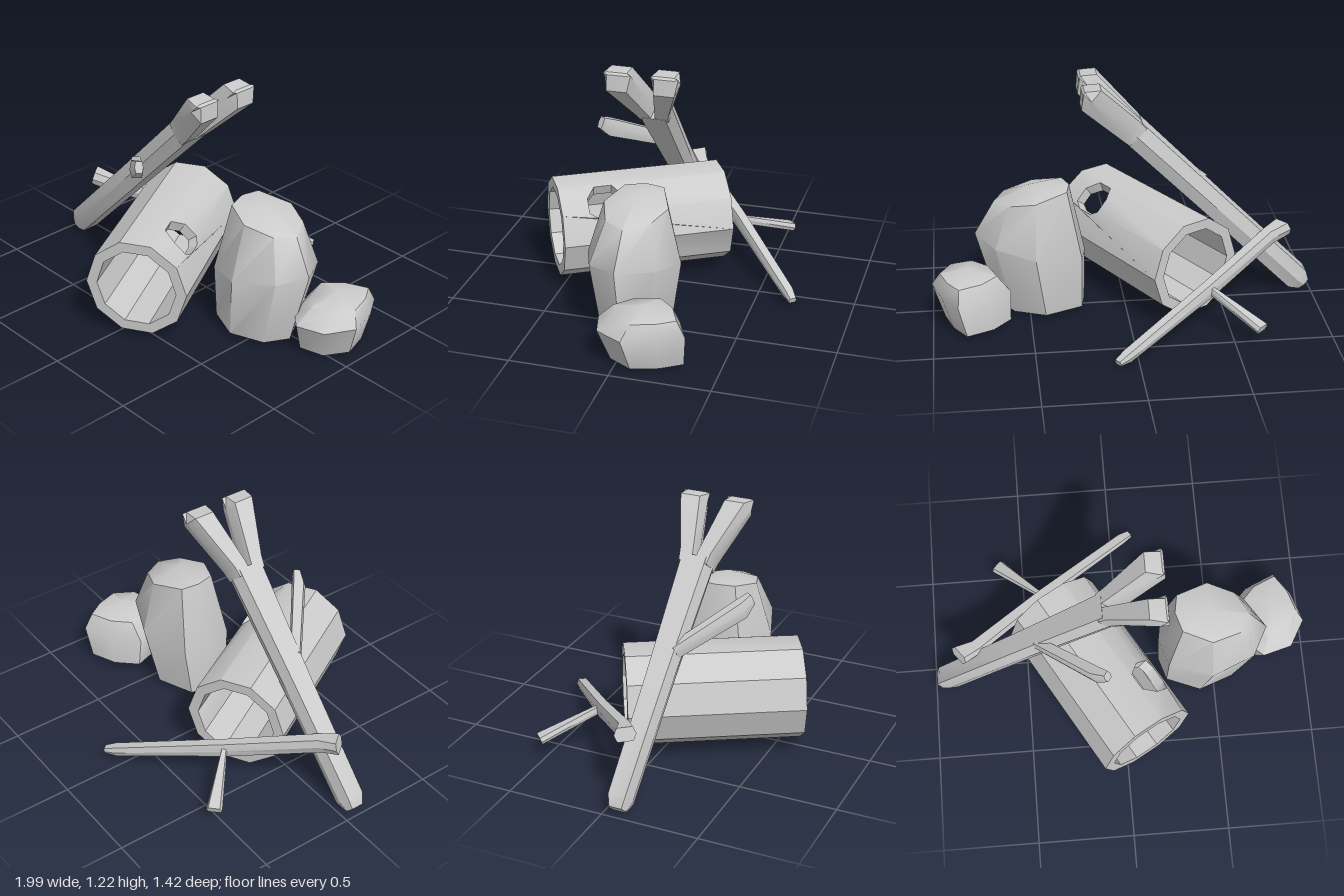
import * as THREE from 'three';
import { toCreasedNormals } from 'three/addons/utils/BufferGeometryUtils.js';

const V = (x, y, z) => new THREE.Vector3(x, y, z);
const material = new THREE.MeshStandardMaterial({ color: 0xcccccc });

// Turns a flat list of triangle corners into a mesh with creased edges
function makeMesh(name, corners, crease) {
  const geo = new THREE.BufferGeometry().setFromPoints(corners);
  const mesh = new THREE.Mesh(toCreasedNormals(geo, crease), material);
  mesh.name = name;
  return mesh;
}

// Skins a stack of rings and closes both ends; lift raises the middle of the last cap
function skin(rings, lift = 0) {
  const out = [];
  const n = rings[0].length;
  const middle = (ring) => ring.reduce((s, p) => s.add(p), V(0, 0, 0)).divideScalar(n);
  const first = rings[0], last = rings[rings.length - 1];
  const start = middle(first), end = middle(last);
  end.y += lift;
  for (let j = 0; j < n; j++) {
    const k = (j + 1) % n;
    for (let i = 0; i < rings.length - 1; i++) {
      const a = rings[i][j], b = rings[i][k], c = rings[i + 1][k], d = rings[i + 1][j];
      out.push(a, b, c, a, c, d);
    }
    out.push(start, first[k], first[j], end, last[j], last[k]);
  }
  return out;
}

// Six-sided branch; each section is [x, y, z, halfWidth, halfThickness]
function branch(name, sections, heading) {
  const f = sections[0], l = sections[sections.length - 1];
  const dir = heading || V(l[0] - f[0], l[1] - f[1], l[2] - f[2]);
  dir.normalize();
  const side = V(0, 1, 0).cross(dir).normalize();
  const up = dir.clone().cross(side);
  const profile = [[1, 0], [0.72, 1], [-0.72, 1], [-1, 0], [-0.72, -1], [0.72, -1]];
  const rings = sections.map(([x, y, z, w, t]) => profile.map(([a, b]) =>
    V(x, y, z).addScaledVector(side, a * w).addScaledVector(up, b * t)));
  return makeMesh(name, skin(rings), 0.5);
}

// Rock: one outline, scaled and shifted per level [scale, dx, dz, y, tilt]
function rock(name, cx, cz, outline, levels, lift) {
  const rings = levels.map(([s, dx, dz, y, tilt]) => outline.map(([x, z]) => {
    const px = (x - cx) * s;
    return V(cx + dx + px, y + tilt * px, cz + dz + (z - cz) * s);
  }).reverse());
  return makeMesh(name, skin(rings, lift), 0.75);
}

// Ten-sided hollow log along z, with a knot hole in its upper side
function hollowLog() {
  const R = 0.262, r = 0.207, h = 0.445, c = 0.212, a = 0.092;
  const at = (s, u, rad) => V(Math.cos(s * Math.PI / 5) * rad, Math.sin(s * Math.PI / 5) * rad, u);
  const upper = [[1, c + a], [1.5, c + a], [1.92, c + a / 2], [1.92, c - a / 2], [1.5, c - a], [1, c - a]];
  const lower = [[1, c - a], [0.82, c - a / 2], [0.82, c + a / 2], [1, c + a]];
  const out = [];
  const quad = (p, q, s, t) => out.push(p, q, s, p, s, t);
  for (let i = 0; i < 10; i++) {
    // Wall panel in unrolled coordinates, notched where the hole crosses it
    const panel = [[i, -h], ...(i === 0 ? [[1, -h], ...lower, [1, h]] : [[i + 1, -h], [i + 1, h]]),
      [i, h], ...(i === 1 ? upper : [])].map(([s, u]) => new THREE.Vector2(s, u));
    for (const [p, q, s] of THREE.ShapeUtils.triangulateShape(panel, [])) {
      const t = [panel[p], panel[q], panel[s]];
      const area = t[1].clone().sub(t[0]).cross(t[2].clone().sub(t[0]));
      if (area < 0) t.reverse();
      out.push(...t.map((v) => at(v.x, v.y, R)));
      out.push(...t.reverse().map((v) => at(v.x, v.y, r)));
    }
    // End rims
    quad(at(i, h, r), at(i, h, R), at(i + 1, h, R), at(i + 1, h, r));
    quad(at(i + 1, -h, r), at(i + 1, -h, R), at(i, -h, R), at(i, -h, r));
  }
  // Thickness of the hole
  const rim = [...upper, ...lower.slice(1, 3)];
  rim.forEach(([s, u], i) => {
    const [s2, u2] = rim[(i + 1) % rim.length];
    quad(at(s, u, R), at(s, u, r), at(s2, u2, r), at(s2, u2, R));
  });
  const mesh = makeMesh('hollowLog', out, 0.5);
  mesh.material = material.clone();
  mesh.material.side = THREE.DoubleSide;
  mesh.position.set(-0.12, 0.293, 0.185);
  mesh.rotation.y = Math.PI / 6;
  return mesh;
}

export function createModel() {
  const model = new THREE.Group();
  model.add(hollowLog());

  // Leaning forked branch
  const forked = new THREE.Group();
  forked.name = 'forkedBranch';
  forked.add(branch('trunk', [
    [-0.968, 0.035, 0.07, 0.045, 0.035],
    [-0.93, 0.073, 0.07, 0.062, 0.064],
    [-0.5, 0.503, 0.07, 0.07, 0.064],
    [-0.045, 0.96, 0.07, 0.09, 0.066],
  ]));
  for (const s of [-1, 1]) {
    forked.add(branch(s < 0 ? 'backProng' : 'frontProng', [
      [-0.07, 0.935, 0.07 + s * 0.042, 0.045, 0.062],
      [-0.03, 0.975, 0.07 + s * 0.048, 0.048, 0.066],
      [0.175, 1.18, 0.07 + s * 0.12, 0.073, 0.07],
      [0.213, 1.218, 0.07 + s * 0.12, 0.07, 0.008],
    ], V(1, 1, 0)));
  }
  forked.add(branch('sideTwig', [
    [-0.42, 0.63, 0.11, 0.03, 0.035],
    [-0.14, 0.785, 0.345, 0.035, 0.045],
    [-0.085, 0.825, 0.375, 0.022, 0.03],
  ]));
  model.add(forked);

  // Thin branch lying through the back of the log
  const thin = new THREE.Group();
  thin.name = 'thinBranch';
  thin.add(branch('thinStem', [
    [-0.845, 0.375, 0.055, 0.055, 0.035],
    [-0.76, 0.345, 0.01, 0.038, 0.038],
    [-0.4, 0.215, -0.3, 0.032, 0.038],
    [0.06, 0.06, -0.665, 0.03, 0.026],
    [0.11, 0.045, -0.7, 0.022, 0.014],
  ]));
  thin.add(branch('lowTwig', [
    [-0.41, 0.21, -0.32, 0.015, 0.02],
    [-0.63, 0.1, -0.54, 0.04, 0.02],
  ]));
  model.add(thin);

  // Rocks
  model.add(rock('largeRock', 0.48, 0.03,
    [[0.23, -0.11], [0.47, -0.21], [0.67, -0.13], [0.77, 0.04], [0.69, 0.19], [0.47, 0.27], [0.25, 0.18], [0.205, 0.03]],
    [[0.8, -0.05, 0.01, 0.03, 0], [1, 0, 0, 0.37, 0.2], [0.68, -0.01, -0.01, 0.65, -0.2]], 0.05));
  model.add(rock('smallRock', 0.81, -0.11,
    [[0.6, -0.15], [0.71, -0.27], [0.87, -0.34], [0.95, -0.22], [1, -0.06], [0.92, 0.08], [0.77, 0.12], [0.66, 0.02]],
    [[0.84, -0.03, -0.02, 0.025, 0], [1, 0, 0, 0.19, 0.05], [0.72, 0.01, -0.02, 0.275, 0]], 0.035));
  return model;
}
